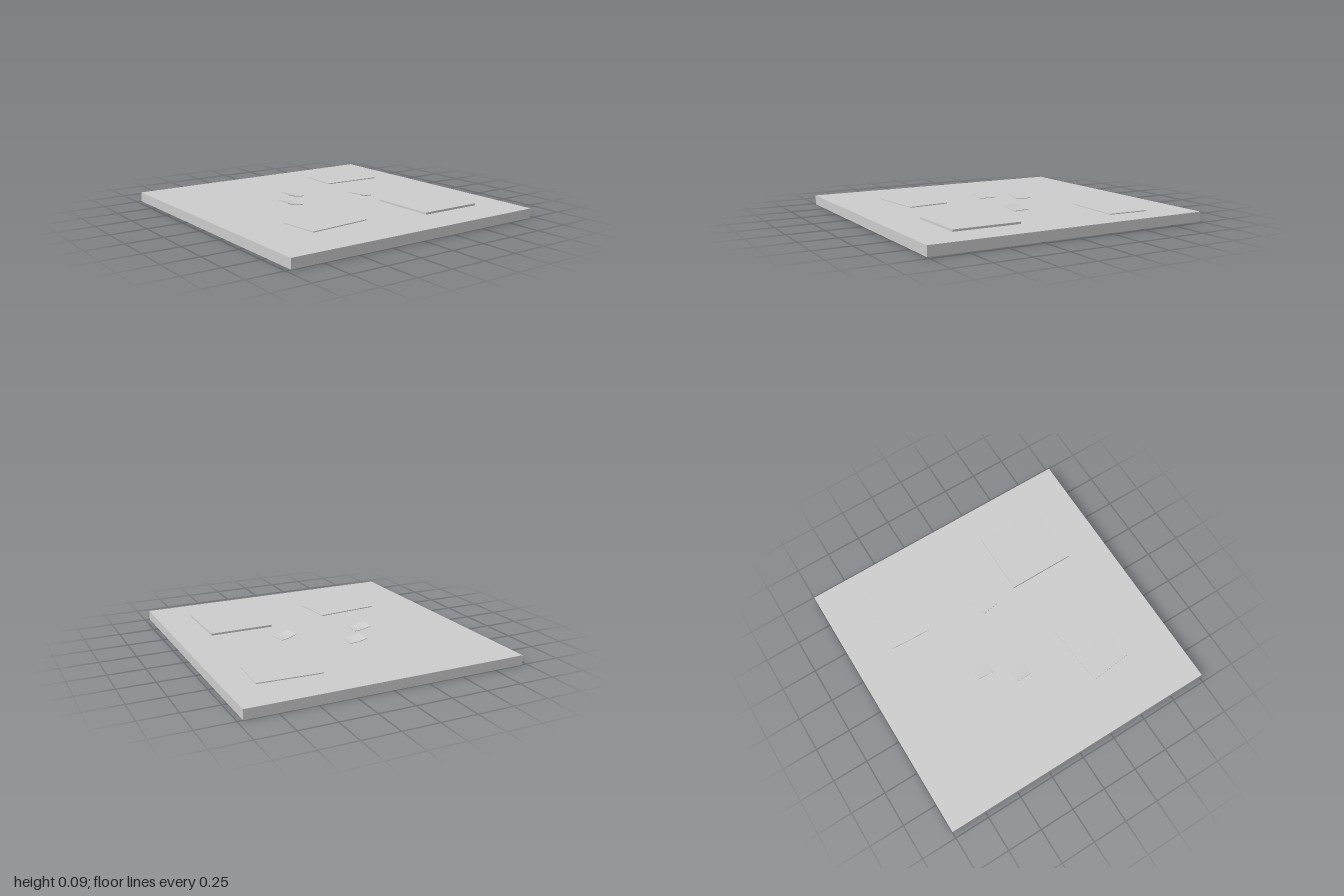
import * as THREE from 'three';

const TOP = 0.067; // upper face of the board
const material = new THREE.MeshStandardMaterial({ color: 0xcccccc });

// Box resting on height y, turned about the vertical axis
function block(name, w, h, d, x, y, z, turn = 0) {
  const geometry = new THREE.BoxGeometry(w, h, d).translate(0, h / 2, 0);
  const mesh = new THREE.Mesh(geometry, material);
  mesh.name = name;
  mesh.position.set(x, y, z);
  mesh.rotation.y = turn;
  return mesh;
}

// Thin square slip lying on the board, its front edge curling upward
function curledSlip(name, x, z, turn) {
  const size = 0.12, thickness = 0.004, rise = 0.021;
  const geometry = new THREE.BoxGeometry(size - 0.003, thickness, size, 1, 1, 12);
  geometry.translate(0, thickness / 2, 0);
  const p = geometry.attributes.position;
  for (let i = 0; i < p.count; i++) {
    const t = p.getZ(i) / size + 0.5;
    p.setY(i, p.getY(i) + rise * t * t);
  }
  geometry.computeVertexNormals();
  const mesh = new THREE.Mesh(geometry, material);
  mesh.name = name;
  mesh.position.set(x, TOP, z);
  mesh.rotation.y = turn;
  return mesh;
}

export function createModel() {
  const group = new THREE.Group();
  group.name = 'pinBoard';

  // Backing board
  group.add(block('board', 2, TOP, 1.93, 0, 0, 0));

  // Large pad and two slightly turned sheets
  group.add(block('largePad', 0.47, 0.014, 0.45, 0.484, TOP, -0.497));
  group.add(block('frontSheet', 0.295, 0.006, 0.445, 0.481, TOP, 0.367, 0.1));
  group.add(block('backSheet', 0.29, 0.006, 0.44, -0.564, TOP, -0.543, -0.05));

  // Small curled slips
  [
    [-0.264, 0.127, -0.06],
    [-0.047, 0.277, -0.03],
    [0.01, -0.276, 0.16],
  ].forEach(([x, z, turn], i) => group.add(curledSlip(`curledSlip${i + 1}`, x, z, turn)));

  return group;
}
